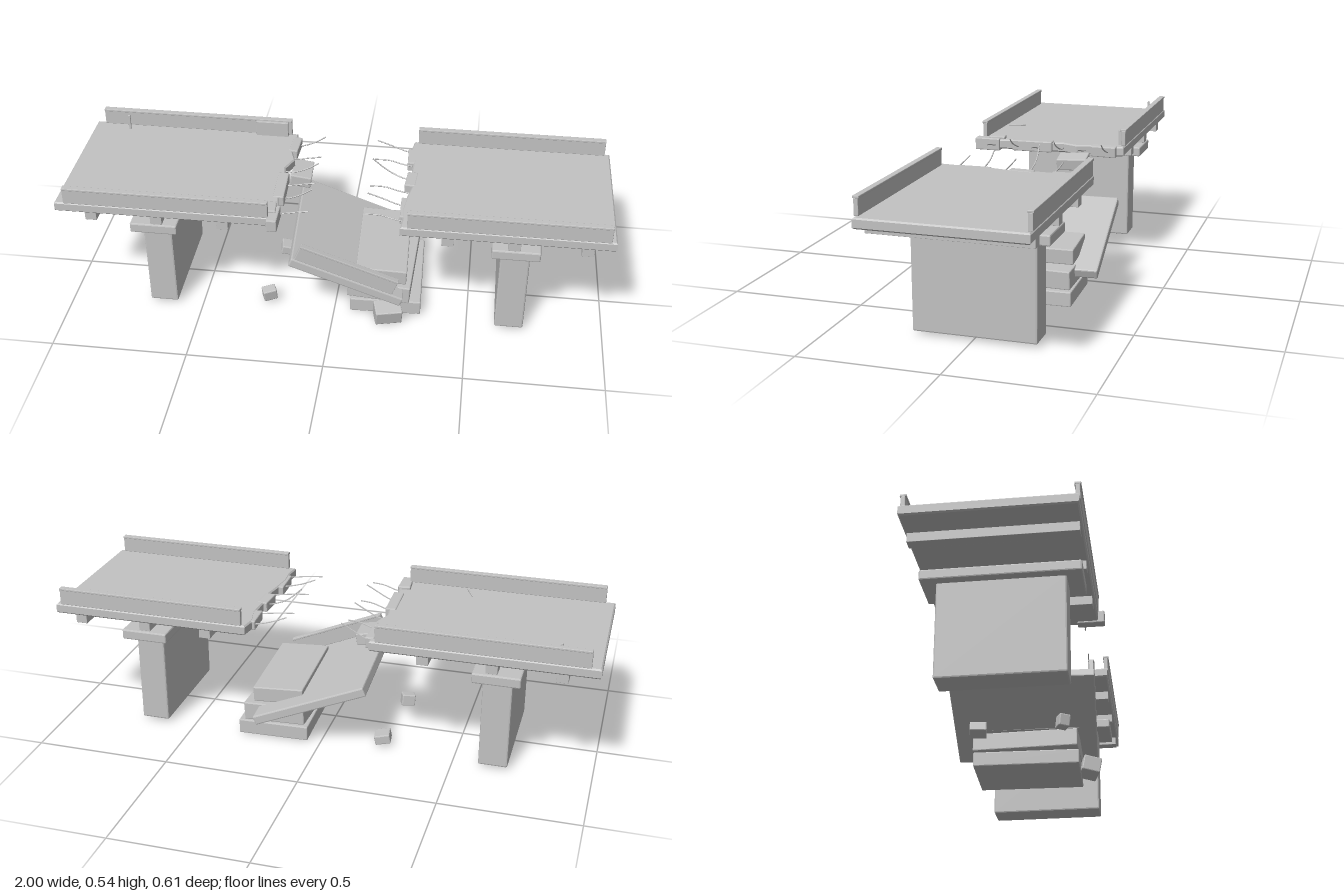
import * as THREE from 'three';
import { RoundedBoxGeometry } from 'three/addons/geometries/RoundedBoxGeometry.js';

export function createModel() {
  const root = new THREE.Group();
  root.name = 'collapsedBridge';
  const concrete = new THREE.MeshStandardMaterial({ color: 0xc2c2c2 });
  concrete.name = 'concrete grey';
  concrete.flatShading = true;

  const add = (name, geometry, parent = root) => {
    const mesh = new THREE.Mesh(geometry, concrete);
    mesh.name = name;
    parent.add(mesh);
    return mesh;
  };
  // Chamfered block given by its centre, size and rotation
  const block = (name, pos, size, rot = [0, 0, 0], parent = root, bevel = 0.004) => {
    const mesh = add(name, new RoundedBoxGeometry(...size, 1, bevel), parent);
    mesh.position.set(...pos);
    mesh.rotation.set(...rot);
    return mesh;
  };
  // Block given by its limits on each axis
  const span = (name, [x0, x1], [y0, y1], [z0, z1], parent = root, bevel = 0.004) =>
    block(name, [(x0 + x1) / 2, (y0 + y1) / 2, (z0 + z1) / 2], [x1 - x0, y1 - y0, z1 - z0], [0, 0, 0], parent, bevel);

  // Parapet wall with a slightly wider coping
  const parapet = (x, y, z, parent) => {
    span('parapet', x, [y, y + 0.058], [z - 0.008, z + 0.008], parent, 0.002);
    span('parapetCoping', x, [y + 0.056, y + 0.065], [z - 0.011, z + 0.011], parent, 0.002);
  };

  // Deck plate with a ragged inner end
  const deck = (name, outerX, edge, girders, wall) => {
    const group = new THREE.Group();
    group.name = name;
    root.add(group);
    const shape = new THREE.Shape();
    shape.moveTo(outerX, -0.292);
    edge.forEach(([x, z]) => shape.lineTo(x, z));
    shape.lineTo(outerX, 0.282);
    const plate = new THREE.ExtrudeGeometry(shape, {
      depth: 0.027, bevelEnabled: true, bevelSegments: 1,
      bevelSize: 0.005, bevelThickness: 0.005, bevelOffset: -0.005,
    });
    plate.rotateX(Math.PI / 2);
    add('deckSlab', plate, group).position.y = 0.475;
    girders.forEach((x) => span('girder', [x - 0.021, x + 0.021], [0.41, 0.446], [-0.285, 0.275], group, 0.001));
    [0.276, -0.285].forEach((z) => parapet(wall, 0.48, z, group));
  };
  deck('rightDeck', -1,
    [[-0.2, -0.292], [-0.195, -0.23], [-0.205, -0.17], [-0.185, -0.11], [-0.21, -0.05], [-0.2, 0.02],
      [-0.19, 0.08], [-0.205, 0.14], [-0.195, 0.2], [-0.205, 0.282]],
    [-0.872, -0.632, -0.39], [-0.965, -0.222]);
  deck('leftDeck', 0.995,
    [[0.255, -0.292], [0.245, -0.23], [0.262, -0.16], [0.258, -0.05], [0.27, 0], [0.255, 0.08],
      [0.245, 0.16], [0.25, 0.22], [0.245, 0.282]],
    [0.413, 0.648, 0.9], [0.27, 0.975]);

  // Piers with caps
  [-0.648, 0.656].forEach((x) => {
    span('pier', [x - 0.053, x + 0.053], [0.012, 0.368], [-0.225, 0.213], root, 0.006);
    span('pierCap', [x - 0.086, x + 0.086], [0.362, 0.4], [-0.278, 0.267], root, 0.005);
  });

  // Broken lumps along both ragged ends
  block('edgeLump', [-0.207, 0.46, 0.255], [0.038, 0.048, 0.1], [0, 0, 0]);
  block('edgeLump', [-0.22, 0.468, 0.222], [0.035, 0.046, 0.065], [0, 0.1, -0.06]);
  block('edgeLump', [-0.208, 0.463, 0.072], [0.04, 0.042, 0.16], [0, 0.03, 0]);
  block('edgeLump', [-0.2, 0.461, -0.215], [0.035, 0.042, 0.1], [0, -0.05, -0.08]);
  block('edgeLump', [0.262, 0.461, -0.19], [0.05, 0.036, 0.1], [0, 0.04, 0]);
  block('edgeLump', [0.262, 0.462, -0.03], [0.04, 0.038, 0.09], [0, -0.06, 0]);
  block('edgeLump', [0.255, 0.46, 0.15], [0.036, 0.036, 0.12], [0, 0.03, 0]);
  block('hangingChunk', [-0.158, 0.422, -0.105], [0.078, 0.045, 0.115], [0.04, 0.05, -0.17]);

  // Bent reinforcing bars on both ragged ends
  const bar = (points) => add('reinforcingBar', new THREE.TubeGeometry(
    new THREE.CatmullRomCurve3(points.map((p) => new THREE.Vector3(...p))), 8, 0.0025, 5));
  [0.22, 0.125, 0.04, -0.05, -0.14, -0.235].forEach((z, i) => {
    const lift = i % 2 ? 0.05 : 0.02;
    bar([[-0.23, 0.462, z], [-0.185, 0.46, z], [-0.13, 0.468 + lift * 0.3, z + 0.006], [-0.085, 0.46 + lift, z + 0.003]]);
    const rise = i === 3 ? 0.08 : i % 2 ? 0.045 : 0.02;
    bar([[0.28, 0.462, z], [0.23, 0.468, z], [0.17, 0.475 + rise * 0.25, z - 0.006], [0.115, 0.463 + rise, z - 0.002]]);
  });

  // Loose pieces left on the deck
  span('deckStub', [-0.863, -0.855], [0.478, 0.54], [-0.252, -0.245], root, 0.001);
  span('parapetFragment', [-0.36, -0.235], [0.478, 0.54], [-0.275, -0.263], root, 0.002);
  block('looseBar', [-0.465, 0.483, 0.22], [0.005, 0.006, 0.07], [0, 0.42, 0], root, 0.001);

  // Fallen span with one parapet, tilted down to the pile
  const fallen = new THREE.Group();
  fallen.name = 'fallenSpan';
  fallen.position.set(0.037, 0.188, -0.022);
  fallen.rotation.set(0, 0.055, -0.385, 'YXZ');
  root.add(fallen);
  span('fallenSlab', [-0.222, 0.222], [-0.018, 0.018], [-0.27, 0.27], fallen, 0.005);
  parapet([-0.21, 0.175], 0.018, 0.258, fallen);

  // Stack of rubble slabs
  block('rubbleSlab', [0.187, 0.032, -0.025], [0.265, 0.056, 0.4], [0, 0.03, 0]);
  block('rubbleSlab', [0.172, 0.1, -0.022], [0.235, 0.07, 0.4], [0, -0.03, -0.05]);
  block('rubbleSlab', [0.168, 0.176, -0.02], [0.19, 0.058, 0.395], [0, 0.035, -0.05]);

  // Scattered chunks on the ground
  block('rubbleChunk', [0.205, 0.036, 0.208], [0.1, 0.06, 0.07], [0.2, 0.25, -0.06]);
  block('rubbleChunk', [-0.252, 0.035, 0.15], [0.052, 0.045, 0.04], [0.1, 0.4, 0.06]);
  block('rubbleChunk', [-0.226, 0.03, -0.155], [0.058, 0.036, 0.06], [0, 0.15, -0.2]);
  return root;
}
